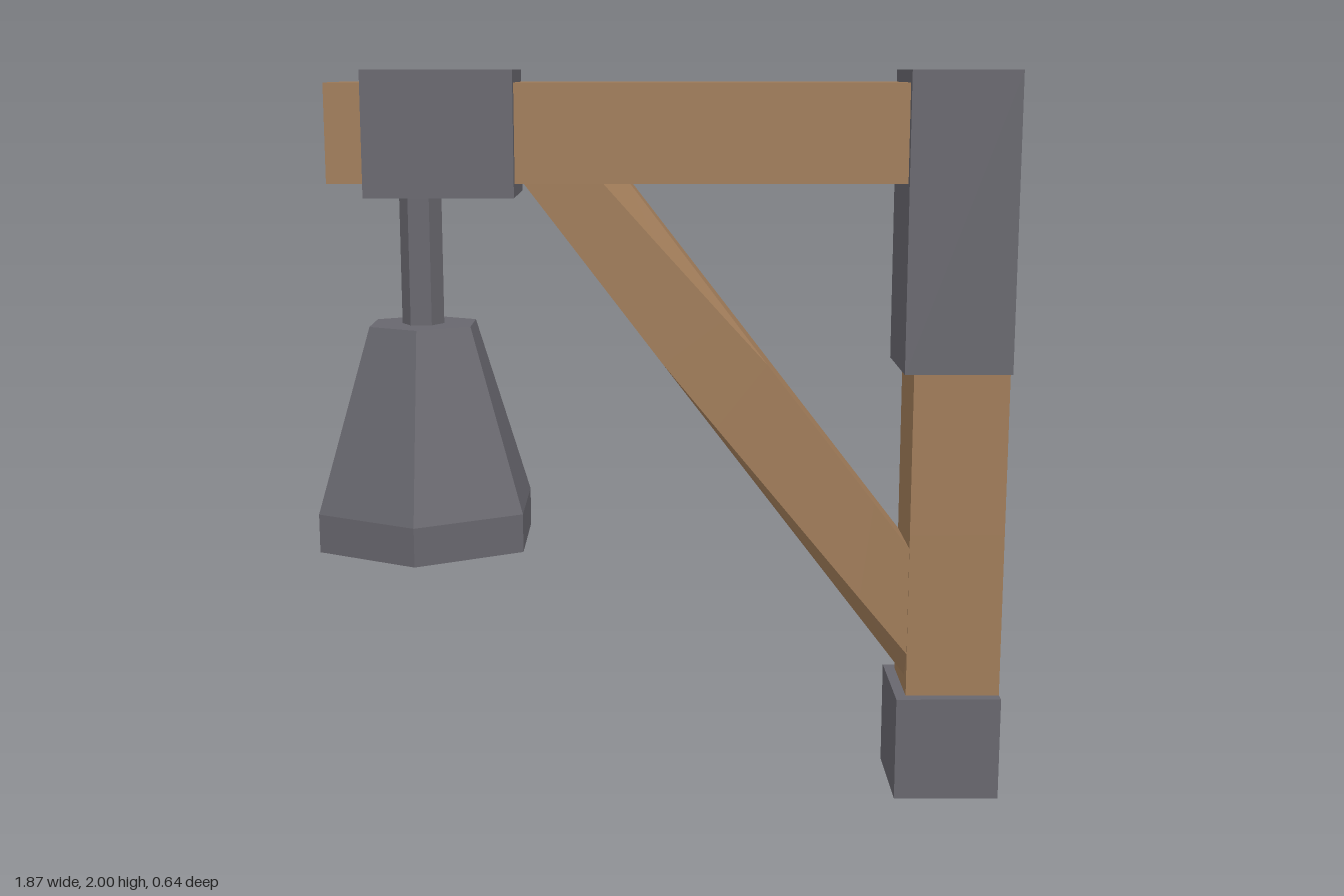
import * as THREE from 'three';

const wood = new THREE.MeshStandardMaterial({ color: 0xa07c59, flatShading: true, side: THREE.DoubleSide });
const iron = new THREE.MeshStandardMaterial({ color: 0x68676e, flatShading: true, side: THREE.DoubleSide });

// Skin a list of cross-sections (arrays of [x, y, z]); closed sections also get end caps.
function loft(sections, closed) {
  const n = sections[0].length, index = [];
  for (let s = 0; s < sections.length - 1; s++) {
    for (let i = 0; i < (closed ? n : n - 1); i++) {
      const a = s * n + i, b = s * n + (i + 1) % n;
      index.push(a, b, b + n, a, b + n, a + n);
    }
  }
  if (closed) {
    const e = (sections.length - 1) * n;
    for (let i = 1; i < n - 1; i++) index.push(0, i + 1, i, e, e + i, e + i + 1);
  }
  const geometry = new THREE.BufferGeometry();
  geometry.setAttribute('position', new THREE.Float32BufferAttribute(sections.flat(2), 3));
  geometry.setIndex(index);
  const flat = geometry.toNonIndexed();
  flat.computeVertexNormals();
  return flat;
}

export function createModel() {
  const group = new THREE.Group();
  const add = (name, geometry, material) => {
    const mesh = new THREE.Mesh(geometry, material);
    mesh.name = name;
    group.add(mesh);
    return mesh;
  };
  const box = (name, material, [x0, x1], [y0, y1], halfZ) =>
    add(name, new THREE.BoxGeometry(x1 - x0, y1 - y0, halfZ * 2), material)
      .position.set((x0 + x1) / 2, (y0 + y1) / 2, 0);

  const back = 0.93; // open side that sits against the wall

  // Wall post: three-sided, with a chipped rear corner widening to the top
  const postSection = (y, dx, dz) => [
    [back, y, -0.12 + dz], [back - dx, y, -0.12], [0.67, y, -0.12], [0.67, y, 0.12], [back, y, 0.12],
  ];
  add('post', loft([postSection(0.29, 0, 0), postSection(0.75, 0, 0), postSection(1.2, 0.11, 0.035)], false), wood);

  // Post brackets: open at the wall, one end closed, a narrow rim around the post at the other
  const u = (y, x, w) => [[back, y, -w], [x, y, -w], [x, y, w], [back, y, w]];
  const outer = (y) => u(y, 0.64, 0.155);
  const rim = (y) => u(y, 0.67, 0.12);
  const closedEnd = (y) => u(y, back, 0);
  add('lowerBracket', loft([closedEnd(0), outer(0), outer(0.29), rim(0.29)], false), iron);
  add('upperBracket', loft([rim(1.2), outer(1.2), outer(2), closedEnd(2)], false), iron);

  // Horizontal arm and its collar
  box('arm', wood, [-0.89, 0.64], [1.705, 1.967], 0.131);
  box('collar', iron, [-0.79, -0.395], [1.67, 2], 0.165);

  // Diagonal brace with three chipped edges; t runs from the post up to the arm
  const w = 0.117, lerp = THREE.MathUtils.lerp;
  const braceSection = (t) => {
    const frontUpper = Math.max(0, (t - 0.52) / 0.48);
    const frontLower = Math.max(0, 1 - t / 0.65);
    const backLower = Math.max(0, t < 0.52 ? (t - 0.15) / 0.37 : (0.85 - t) / 0.33);
    const at = (f, z) => [
      lerp(lerp(0.69, -0.38, t), lerp(0.69, -0.106, t), f),
      lerp(lerp(0.31, 1.715, t), lerp(0.685, 1.715, t), f),
      z,
    ];
    return [
      at(0.2 * frontLower, w), at(1 - 0.24 * frontUpper, w), at(1, w - 0.11 * frontUpper),
      at(1, -w), at(0.2 * backLower, -w), at(0, -w + 0.06 * backLower), at(0, w - 0.045 * frontLower),
    ];
  };
  add('brace', loft([0, 0.15, 0.52, 0.65, 0.85, 1].map(braceSection), true), wood);

  // Hanging rod
  const rod = add('rod', new THREE.CylinderGeometry(0.057, 0.057, 0.37, 6), iron);
  rod.position.set(-0.66, 1.495, 0);
  rod.rotation.y = Math.PI / 6;

  // Hollow six-sided bell shade
  const profile = [
    [0, 1.22], [0.09, 1.22], [0.215, 0.715], [0.318, 0.715], [0.318, 0.82], [0.157, 1.32], [0, 1.32],
  ].map(([r, y]) => new THREE.Vector2(r, y));
  add('shade', new THREE.LatheGeometry(profile, 6), iron).position.x = -0.66;

  return group;
}
